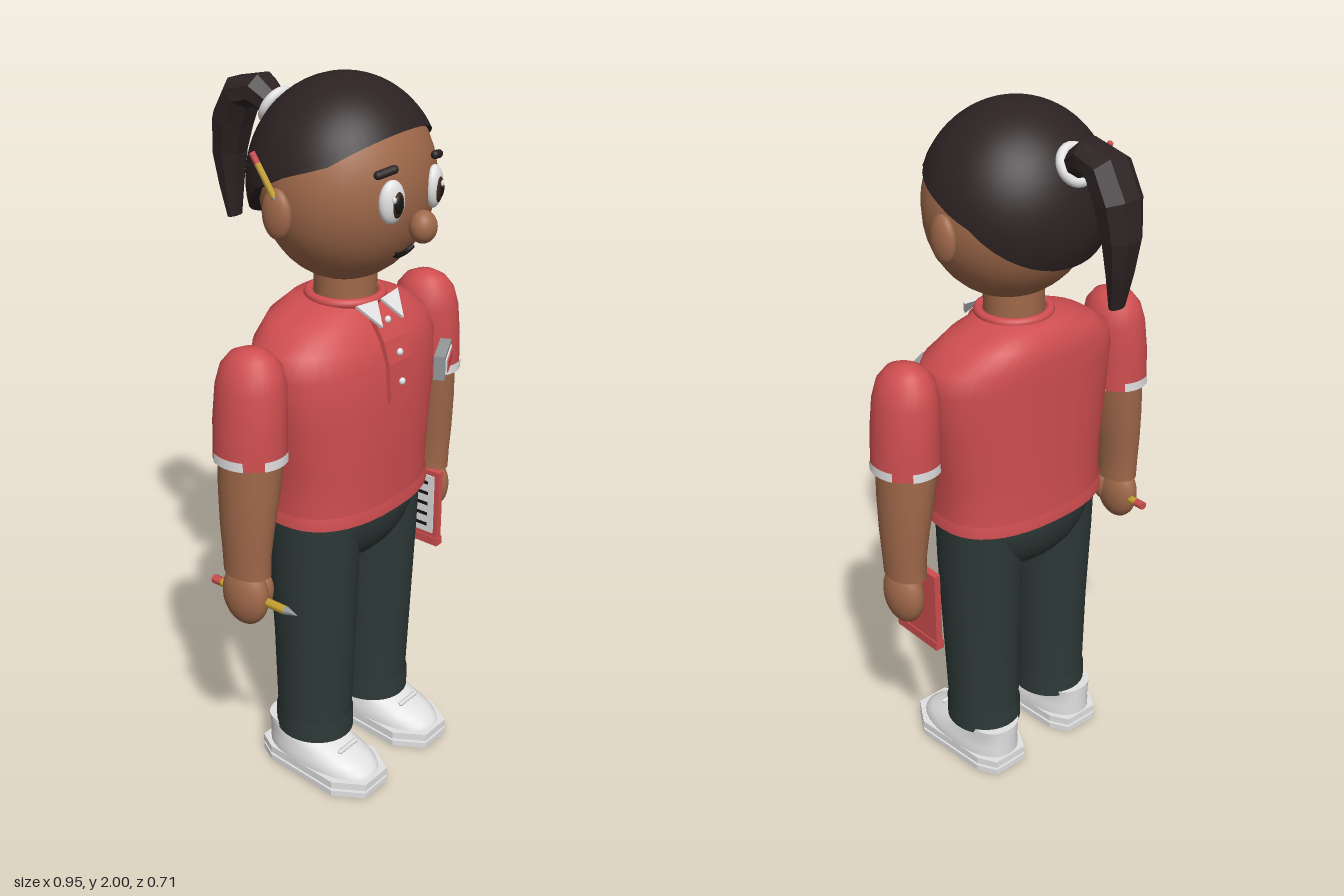
import * as THREE from 'three';

const paint = (name, color) => Object.assign(new THREE.MeshStandardMaterial({ color }), { name });
const red = paint('shirt red', 0xd04e50), skin = paint('skin brown', 0xa0694a);
const dark = paint('hair dark brown', 0x2c2223), green = paint('trouser dark green', 0x2d3937);
const white = paint('white', 0xe2e2e2), grey = paint('metal grey', 0x94999b);
const yellow = paint('pencil yellow', 0xc9a432), black = paint('black', 0x161313);
const brown = paint('iris brown', 0x3c2618);

// Skin a list of closed rings (a repeated ring gives a crease), with both ends capped
function skinRings(rings, flat = false) {
  const n = rings[0].length, pos = [], idx = [];
  rings.forEach(r => r.forEach(p => pos.push(p.x, p.y, p.z)));
  for (let j = 0; j < rings.length - 1; j++) for (let i = 0; i < n; i++) {
    const a = j * n + i, b = j * n + (i + 1) % n;
    idx.push(a, a + n, b, b, a + n, b + n);
  }
  [rings[0], rings[rings.length - 1]].forEach((r, top) => {
    const base = pos.length / 3, c = new THREE.Vector3();
    r.forEach(p => { c.add(p); pos.push(p.x, p.y, p.z); });
    c.divideScalar(n);
    pos.push(c.x, c.y, c.z);
    for (let i = 0; i < n; i++) {
      const k = base + (i + 1) % n;
      idx.push(base + n, top ? k : base + i, top ? base + i : k);
    }
  });
  let g = new THREE.BufferGeometry();
  g.setAttribute('position', new THREE.Float32BufferAttribute(pos, 3));
  g.setIndex(idx);
  if (flat) g = g.toNonIndexed();
  g.computeVertexNormals();
  return g;
}

// Upright loft through rows of [y, centreX, centreZ, radiusX, radiusZ]
function loft(rows, n = 32, power = 2) {
  const bend = v => Math.sign(v) * Math.abs(v) ** (2 / power);
  return skinRings(rows.map(([y, cx, cz, rx, rz]) => Array.from({ length: n }, (_, i) => {
    const a = i / n * Math.PI * 2;
    return new THREE.Vector3(cx + rx * bend(Math.cos(a)), y, cz + rz * bend(Math.sin(a)));
  })));
}

function add(parent, name, geometry, material, x = 0, y = 0, z = 0) {
  const m = new THREE.Mesh(geometry, material);
  m.name = name;
  m.position.set(x, y, z);
  parent.add(m);
  return m;
}
function ball(parent, name, material, p, r) {
  const m = add(parent, name, new THREE.SphereGeometry(1, 28, 20), material, ...p);
  m.scale.set(...r);
  return m;
}
function group(parent, name) {
  const g = new THREE.Group();
  g.name = name;
  parent.add(g);
  return g;
}
const box = (w, h, d) => new THREE.BoxGeometry(w, h, d);

// Hexagonal pencil along z, with its tip forward
function pencil(parent, name, length, r) {
  const g = group(parent, name);
  const rod = (part, r1, r0, len, z, mat) => {
    add(g, part, new THREE.CylinderGeometry(r1, r0, len, 6), mat, 0, 0, z).rotation.x = Math.PI / 2;
  };
  rod('pencilEraser', r, r, 0.03, -length / 2 + 0.015, red);
  rod('pencilBody', r, r, length - 0.07, -0.005, yellow);
  rod('pencilTip', 0.001, r, 0.04, length / 2 - 0.02, grey);
  return g;
}

// Front surface of the head
const headZ = (x, y) => 0.09 + 0.215 * Math.sqrt(1 - (x / 0.245) ** 2 - ((y - 1.732) / 0.255) ** 2);

// Hair cap whose lower edge sweeps down from the forehead to the nape
function hairCap() {
  const edge = [[-0.2, 1.58], [-0.14, 1.62], [-0.02, 1.74], [0.085, 1.79], [0.19, 1.825], [0.29, 1.9]];
  const cut = z => {
    let k = 0;
    while (k < edge.length - 2 && z > edge[k + 1][0]) k++;
    const [[z0, y0], [z1, y1]] = [edge[k], edge[k + 1]];
    return y0 + (y1 - y0) * (z - z0) / (z1 - z0);
  };
  const at = (t, a, s = 1) => new THREE.Vector3(0.255 * s * Math.sin(t) * Math.cos(a),
    1.735 + 0.265 * Math.cos(t), 0.075 + 0.245 * s * Math.sin(t) * Math.sin(a));
  const n = 48, steps = 18, limits = [];
  for (let i = 0; i < n; i++) {
    let lo = 0, hi = 2.4;
    for (let k = 0; k < 30; k++) {
      const mid = (lo + hi) / 2, p = at(mid, i / n * Math.PI * 2);
      if (p.y > cut(p.z)) lo = mid; else hi = mid;
    }
    limits.push(lo);
  }
  const ring = (f, s) => limits.map((t, i) => at(t * f, i / n * Math.PI * 2, s));
  const rings = [ring(1, 0.88), ring(1), ring(1)];
  for (let j = 1; j < steps; j++) rings.push(ring(1 - j / steps));
  rings.push(ring(0.005));
  return skinRings(rings);
}

// Eight-sided tail swept along a curve; rows of [z, y, half width, half thickness]
function ponytail() {
  const rows = [[-0.13, 1.875, 0.035, 0.03], [-0.2, 1.918, 0.055, 0.044], [-0.26, 1.903, 0.062, 0.048],
    [-0.298, 1.83, 0.062, 0.05], [-0.313, 1.74, 0.052, 0.041], [-0.31, 1.65, 0.038, 0.028], [-0.302, 1.56, 0.024, 0.012]];
  return skinRings(rows.map(([z, y, w, t], k) => {
    const p = rows[Math.max(k - 1, 0)], q = rows[Math.min(k + 1, rows.length - 1)];
    const d = new THREE.Vector3(0, q[1] - p[1], q[0] - p[0]).normalize();
    const side = new THREE.Vector3(1, 0, 0).cross(d);
    return Array.from({ length: 8 }, (_, i) => {
      const a = (i + 0.5) * Math.PI / 4;
      return new THREE.Vector3(w * 1.08 * Math.cos(a), y, z).addScaledVector(side, t * 1.08 * Math.sin(a));
    });
  }), true);
}

export function createModel() {
  const model = new THREE.Group();
  model.name = 'shopWorker';

  // Head and hair
  const head = group(model, 'head');
  ball(head, 'face', skin, [0, 1.732, 0.09], [0.245, 0.255, 0.215]);
  add(head, 'neck', new THREE.CylinderGeometry(0.083, 0.083, 0.14, 28), skin, 0, 1.46, 0.083);
  ball(head, 'nose', skin, [0, 1.655, 0.325], [0.037, 0.042, 0.035]);
  add(head, 'hairCap', hairCap(), dark);
  add(head, 'ponytail', ponytail(), dark);
  add(head, 'hairTie', new THREE.TorusGeometry(0.044, 0.014, 10, 24), white, 0, 1.885, -0.148).rotation.x = 0.53;
  const smile = [[-0.042, 1.583], [-0.022, 1.573], [0, 1.57], [0.022, 1.573], [0.042, 1.583]]
    .map(([x, y]) => new THREE.Vector3(x, y, headZ(x, y) + 0.004));
  add(head, 'mouth', new THREE.TubeGeometry(new THREE.CatmullRomCurve3(smile), 16, 0.007, 8), black);
  const earPencil = pencil(head, 'earPencil', 0.16, 0.009);
  earPencil.position.set(-0.262, 1.775, 0.045);
  earPencil.lookAt(-0.25, 1.655, 0.115);

  // Shirt body, rows of [y, half width, front z, back z]
  const shirt = group(model, 'shirt');
  const body = [[0.845, 0.27, 0.265, -0.095], [0.845, 0.27, 0.265, -0.095], [0.88, 0.268, 0.264, -0.094],
    [0.88, 0.262, 0.26, -0.09], [1, 0.266, 0.264, -0.09], [1.15, 0.29, 0.264, -0.09], [1.28, 0.305, 0.254, -0.09],
    [1.34, 0.285, 0.232, -0.09], [1.39, 0.215, 0.2, -0.083], [1.422, 0.13, 0.168, -0.055], [1.432, 0.08, 0.15, 0]];
  add(shirt, 'shirtBody', loft(body.map(([y, w, f, b]) => [y, 0, (f + b) / 2, w, (f - b) / 2]), 40, 2.4), red);
  add(shirt, 'neckBand', new THREE.TorusGeometry(0.097, 0.013, 10, 32), red, 0, 1.43, 0.083).rotation.x = Math.PI / 2;

  // Button placket, a bent strip down the chest
  const front = [[1.42, 0.185], [1.39, 0.216], [1.34, 0.246], [1.28, 0.265], [1.175, 0.273]];
  const strip = new THREE.Shape([...front.map(([y, z]) => new THREE.Vector2(-z, y)),
    ...front.map(([y, z]) => new THREE.Vector2(-z + 0.025, y)).reverse()]);
  const placket = add(shirt, 'placket', new THREE.ExtrudeGeometry(strip, { depth: 0.09, bevelEnabled: false }), red, 0.045);
  placket.rotation.y = Math.PI / 2;
  placket.position.x = -0.045;
  [[1.385, 0.223], [1.305, 0.264], [1.225, 0.274]].forEach(([y, z]) =>
    ball(shirt, 'button', white, [0, y, z], [0.01, 0.01, 0.008]));

  // Name badge, left without writing
  const badge = group(shirt, 'badge');
  badge.position.set(0.185, 1.225, 0.272);
  badge.rotation.y = 0.48;
  add(badge, 'badgeFrame', box(0.13, 0.068, 0.03), grey);
  add(badge, 'badgeFace', box(0.106, 0.044, 0.006), white, 0, 0, 0.016);
  add(badge, 'badgePanel', box(0.09, 0.032, 0.006), red, 0, 0, 0.019);

  // Pelvis
  const trousers = group(model, 'trousers');
  ball(trousers, 'pelvis', green, [0, 0.85, 0.08], [0.25, 0.2, 0.172]);

  for (const s of [1, -1]) {
    const side = s > 0 ? 'left' : 'right';

    // Face details
    ball(head, side + 'Ear', skin, [s * 0.247, 1.695, 0.063], [0.024, 0.065, 0.044]);
    const eye = group(head, side + 'Eye');
    eye.position.set(s * 0.088, 1.732, 0.292);
    eye.rotation.y = s * 0.3;
    ball(eye, 'eyeWhite', white, [0, 0, 0], [0.037, 0.055, 0.022]);
    ball(eye, 'iris', brown, [-s * 0.005, -0.003, 0.011], [0.022, 0.037, 0.014]);
    ball(eye, 'pupil', black, [-s * 0.005, -0.003, 0.016], [0.015, 0.026, 0.012]);
    ball(eye, 'eyeGlint', white, [-0.01, 0.012, 0.025], [0.006, 0.008, 0.004]);
    const brow = add(head, side + 'Eyebrow', new THREE.CapsuleGeometry(0.011, 0.045, 6, 12), dark, s * 0.105, 1.808, 0.286);
    brow.rotation.set(0, s * 0.4, Math.PI / 2 - s * 0.2);

    // Collar flap
    const flap = new THREE.Shape([[0.088, 0.008], [0.045, -0.07], [0.008, 0]].map(([x, y]) => new THREE.Vector2(s * x, y)));
    add(shirt, side + 'CollarFlap', new THREE.ExtrudeGeometry(flap, { depth: 0.008, bevelEnabled: false }),
      white, 0, 1.428, 0.188).rotation.x = -0.75;

    // Sleeve with four trim patches
    const arm = group(model, side + 'Arm');
    const limb = rows => loft(rows.map(([y, x, rx, rz]) => [y, s * x, 0.08, rx, rz]));
    add(arm, 'sleeve', limb([[1.095, 0.383, 0.091, 0.1], [1.095, 0.383, 0.091, 0.1], [1.2, 0.38, 0.089, 0.1],
      [1.29, 0.374, 0.084, 0.096], [1.34, 0.371, 0.072, 0.084], [1.37, 0.37, 0.05, 0.06], [1.384, 0.37, 0.025, 0.03],
      [1.387, 0.37, 0.003, 0.003]]), red);
    for (let k = 0; k < 4; k++) {
      const patch = new THREE.CylinderGeometry(1, 1, 0.026, 8, 1, true, k * Math.PI / 2 - 0.5, 1);
      add(arm, 'sleeveTrim', patch, white, s * 0.383, 1.108, 0.08).scale.set(0.094, 1, 0.103);
    }

    // Forearm and hand
    add(arm, 'forearm', limb([[0.765, 0.403, 0.052, 0.07], [0.765, 0.403, 0.052, 0.07], [0.82, 0.404, 0.054, 0.071],
      [0.9, 0.4, 0.062, 0.078], [1, 0.39, 0.073, 0.086], [1.12, 0.378, 0.083, 0.09]]), skin);
    ball(arm, 'hand', skin, [s * 0.412, 0.7, 0.08], [0.046, 0.09, 0.072]);
    ball(arm, 'thumb', skin, [s * 0.382, 0.715, 0.12], [0.022, 0.05, 0.026]);

    // Trouser leg with hem
    add(trousers, side + 'Leg', loft([[0.125, 0.132, 0.085, 0.107, 0.115], [0.125, 0.132, 0.085, 0.107, 0.115],
      [0.185, 0.132, 0.085, 0.107, 0.115], [0.19, 0.132, 0.085, 0.103, 0.11], [0.45, 0.133, 0.087, 0.111, 0.118],
      [0.7, 0.135, 0.085, 0.118, 0.13], [0.86, 0.132, 0.083, 0.12, 0.14]].map(([y, x, ...r]) => [y, s * x, ...r])), green);

    // Shoe: two-layer sole, rounded upper, laces
    const shoe = group(model, side + 'Shoe');
    shoe.position.x = s * 0.147;
    const sole = (name, k, y, h) => {
      const outline = [[-0.055, -0.055], [0.055, -0.055], [0.085, 0], [0.102, 0.24], [0.05, 0.325], [-0.05, 0.325], [-0.102, 0.24], [-0.085, 0]];
      const shape = new THREE.Shape(outline.map(([x, z]) => new THREE.Vector2(x * k, -0.135 - (z - 0.135) * k)
        .add(new THREE.Vector2(0, 0))));
      add(shoe, name, new THREE.ExtrudeGeometry(shape, { depth: h, bevelEnabled: false }), white, 0, y).rotation.x = -Math.PI / 2;
    };
    sole('outsole', 1, 0, 0.018);
    sole('soleGroove', 0.93, 0.018, 0.008);
    sole('midsole', 1, 0.026, 0.022);
    add(shoe, 'shoeUpper', loft([[0.045, 0.315, 0.093], [0.06, 0.308, 0.093], [0.078, 0.285, 0.089], [0.098, 0.235, 0.083],
      [0.118, 0.175, 0.08], [0.14, 0.11, 0.074]].map(([y, f, w]) => [y, 0, (f - 0.05) / 2, w, (f + 0.05) / 2]), 32, 2.3), white);
    [[0.122, 0.17], [0.105, 0.22]].forEach(([y, z]) =>
      add(shoe, 'lace', new THREE.CapsuleGeometry(0.007, 0.07, 4, 8), white, 0, y, z).rotation.z = Math.PI / 2);
  }

  // Pencil held in the right hand
  pencil(model, 'handPencil', 0.29, 0.013).position.set(-0.405, 0.695, 0.105);

  // Order pad held in the left hand, with ruled page facing inward
  const pad = group(model, 'orderPad');
  pad.position.set(0.36, 0.65, 0.08);
  add(pad, 'padCover', box(0.02, 0.245, 0.17), red);
  add(pad, 'padSpine', box(0.027, 0.026, 0.174), red, 0, -0.11, 0);
  add(pad, 'padPage', box(0.006, 0.19, 0.14), white, -0.011, 0.012, 0);
  for (let k = 0; k < 5; k++) add(pad, 'padLine', box(0.004, 0.01, 0.1), black, -0.0135, 0.082 - k * 0.035, 0);

  return model;
}
